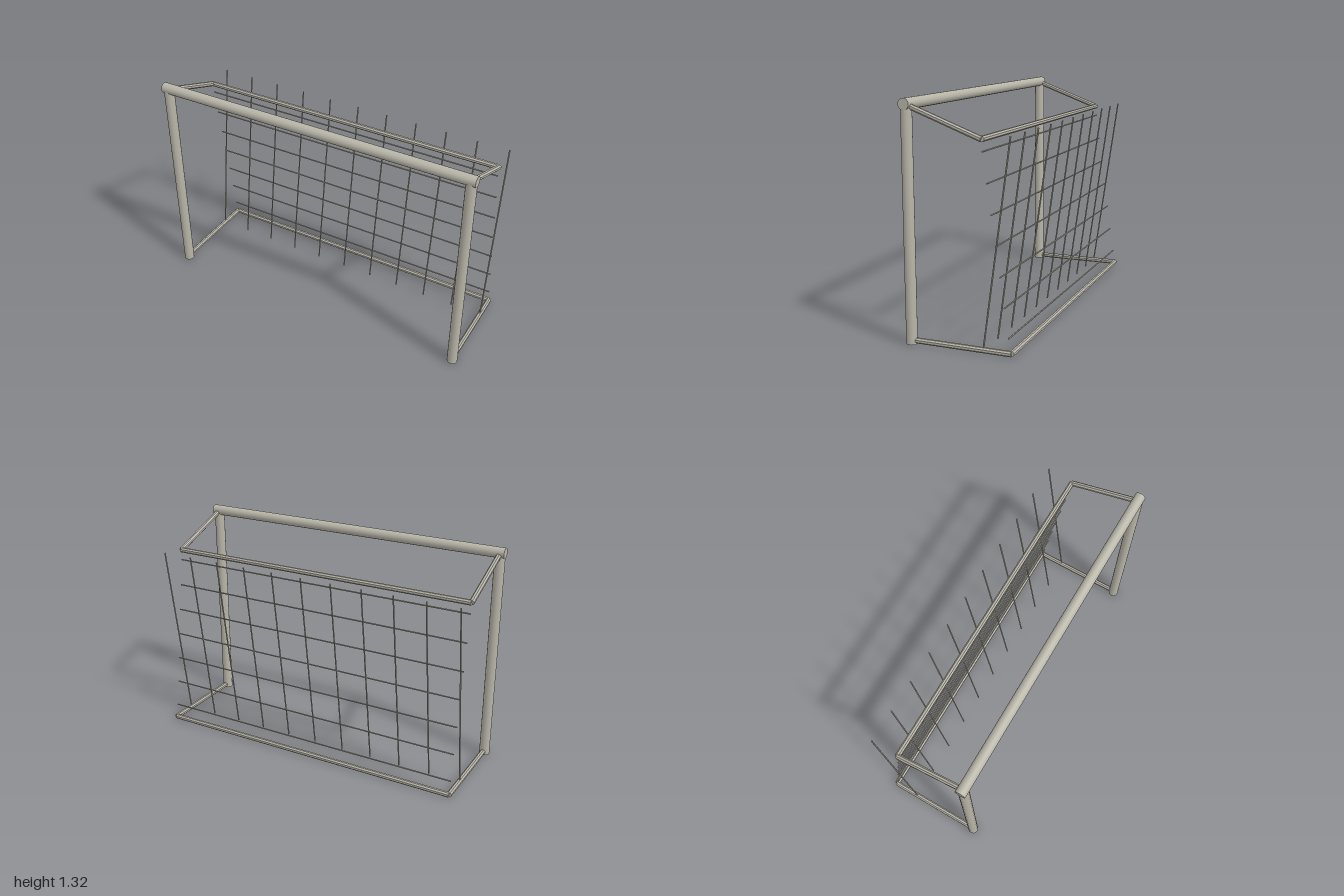
import * as THREE from 'three';

export function createModel() {
  const model = new THREE.Group();
  model.name = 'footballGoal';
  const paint = new THREE.MeshStandardMaterial({ color: 0xb8b5a8 });
  paint.name = 'warmGrey';
  const up = new THREE.Vector3(0, 1, 0);

  // Round bar between two points; bars with few sides are faceted
  function bar(name, from, to, radius, sides) {
    const a = new THREE.Vector3(...from);
    const dir = new THREE.Vector3(...to).sub(a);
    let geo = new THREE.CylinderGeometry(radius, radius, dir.length(), sides);
    if (sides <= 8) {
      geo.rotateY(Math.PI / sides);
      geo = geo.toNonIndexed();
      geo.computeVertexNormals();
    }
    const mesh = new THREE.Mesh(geo, paint);
    mesh.name = name;
    mesh.position.copy(a).addScaledVector(dir, 0.5);
    mesh.quaternion.setFromUnitVectors(up, dir.normalize());
    model.add(mesh);
  }

  const frontZ = 0.284, barY = 1.293, sideX = 0.968;
  const topY = 1.13, topZ = -0.137, baseY = 0.02, baseZ = -0.297;

  // Crossbar and the two rear rails
  bar('crossbar', [-1, barY, frontZ], [1, barY, frontZ], 0.0315, 20);
  bar('topRearRail', [-sideX, topY, topZ], [sideX, topY, topZ], 0.016, 8);
  bar('bottomRearRail', [-sideX, baseY, baseZ], [sideX, baseY, baseZ], 0.016, 8);

  // Posts and side stays, mirrored
  for (const [side, s] of [['left', 1], ['right', -1]]) {
    const x = s * sideX;
    bar(side + 'Post', [x, 0, frontZ], [x, barY, frontZ], 0.031, 20);
    bar(side + 'TopStay', [x, 1.288, frontZ], [x, topY, topZ], 0.016, 8);
    bar(side + 'BottomStay', [x, baseY, frontZ], [x, baseY, baseZ], 0.016, 8);
  }

  // Net: upright strands lean back, level strands step forward as they rise
  const strand = 0.0045;
  for (let i = -5; i <= 5; i++) {
    const x = i * 0.194;
    bar('uprightNetStrand', [x, 0.018, -0.138], [x, 1.152, -0.297], strand, 6);
  }
  for (let i = 0; i < 7; i++) {
    const y = 0.101 + i * 0.161, z = -0.281 + i * 0.0231;
    bar('levelNetStrand', [-0.968, y, z], [0.968, y, z], strand, 6);
  }
  return model;
}
